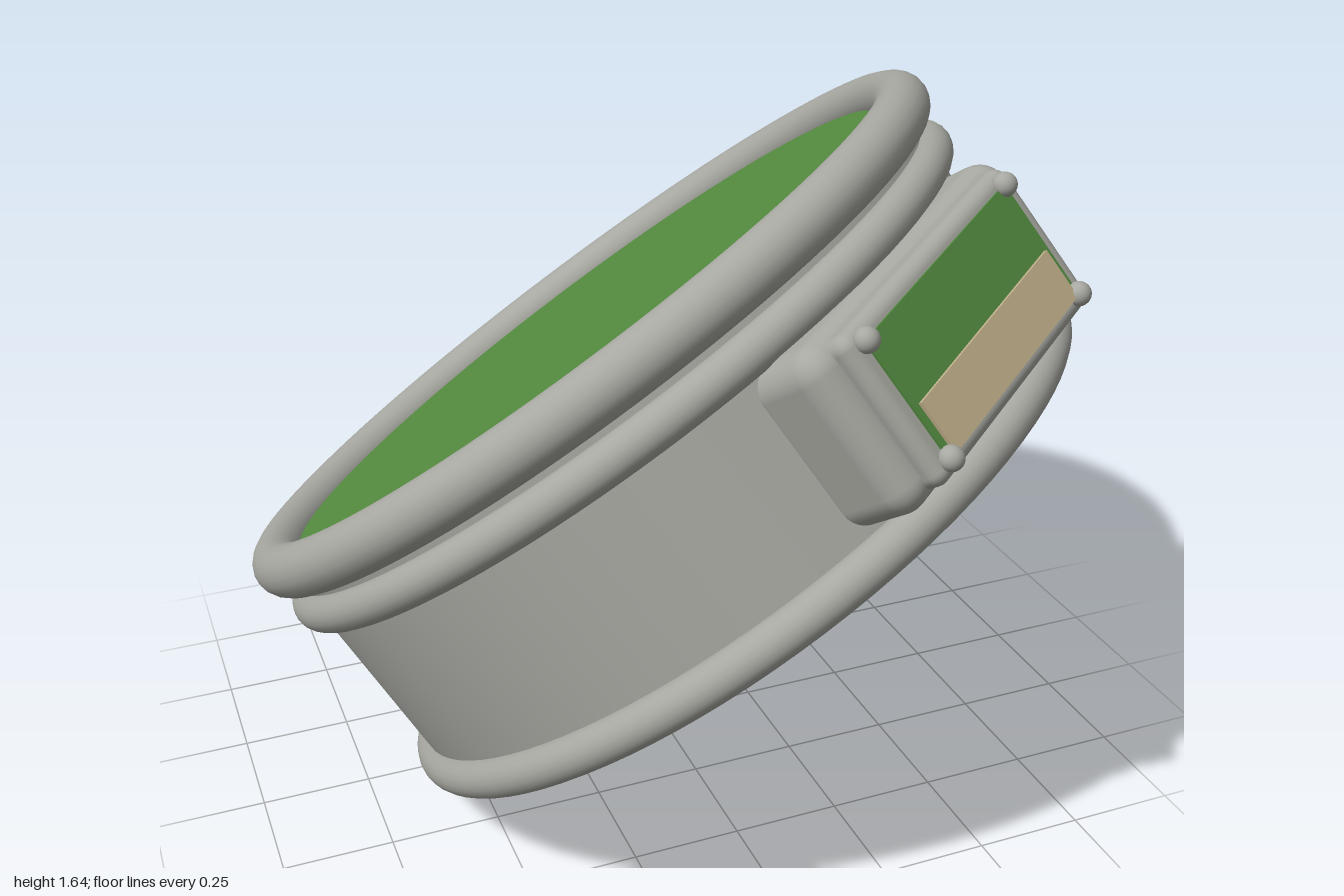
import * as THREE from 'three';
import { toCreasedNormals } from 'three/addons/utils/BufferGeometryUtils.js';
import { RoundedBoxGeometry } from 'three/addons/geometries/RoundedBoxGeometry.js';

export function createModel() {
  const material = (name, color) => {
    const m = new THREE.MeshStandardMaterial({ color });
    m.name = name;
    return m;
  };
  const grey = material('casing grey', 0xa8a8a2);
  const green = material('screen green', 0x548c40);
  const tan = material('label tan', 0xc2b18c);

  // Local frame: y is the drum axis, z points out through the side panel
  const drum = new THREE.Group();
  drum.name = 'drum';
  const add = (name, geometry, mat, x = 0, y = 0, z = 0) => {
    const mesh = new THREE.Mesh(geometry, mat);
    mesh.name = name;
    mesh.position.set(x, y, z);
    drum.add(mesh);
    return mesh;
  };

  // Closed cylindrical body with a softened bottom edge
  const profile = [[0, -0.63], [0.865, -0.63], [0.877, -0.622], [0.877, -0.02], [0, -0.02]]
    .map(([r, y]) => new THREE.Vector2(r, y));
  add('body', toCreasedNormals(new THREE.LatheGeometry(profile, 96), 0.6), grey);

  // Rounded rings around the body
  const rings = [['topRim', 0, 0.06], ['upperRing', -0.118, 0.044], ['bottomRim', -0.585, 0.045]];
  for (const [name, y, tube] of rings) {
    add(name, new THREE.TorusGeometry(0.88, tube, 20, 96).rotateX(Math.PI / 2), grey, 0, y);
  }

  // Flat top face
  add('topFace', new THREE.CylinderGeometry(0.835, 0.835, 0.008, 96), green);

  // Side panel: housing, frame, plate and label strip
  const py = -0.343;
  add('panelHousing', new RoundedBoxGeometry(0.79, 0.38, 0.22, 5, 0.06), grey, 0, py, 0.84);
  add('panelFrame', new RoundedBoxGeometry(0.67, 0.345, 0.1, 4, 0.03), grey, 0, py, 0.938);
  add('panelPlate', new THREE.BoxGeometry(0.58, 0.275, 0.009), green, 0, py, 0.989);
  add('panelStrip', new THREE.BoxGeometry(0.545, 0.117, 0.009), tan, 0, py - 0.078, 0.997);

  // Round studs at the panel corners
  for (const sx of [-1, 1]) {
    for (const sy of [-1, 1]) {
      add('panelStud', new THREE.SphereGeometry(0.026, 20, 14), grey, sx * 0.287, py + sy * 0.137, 0.995);
    }
  }

  // Tilt the whole drum
  const up = new THREE.Vector3(-0.49, 0.79, -0.366).normalize();
  const out = new THREE.Vector3(0.335, 0.558, 0.758).projectOnPlane(up).normalize();
  const side = new THREE.Vector3().crossVectors(up, out);
  drum.quaternion.setFromRotationMatrix(new THREE.Matrix4().makeBasis(side, up, out));
  drum.position.set(-0.138, 1.045, -0.12);

  const model = new THREE.Group();
  model.name = 'model';
  model.add(drum);
  return model;
}
